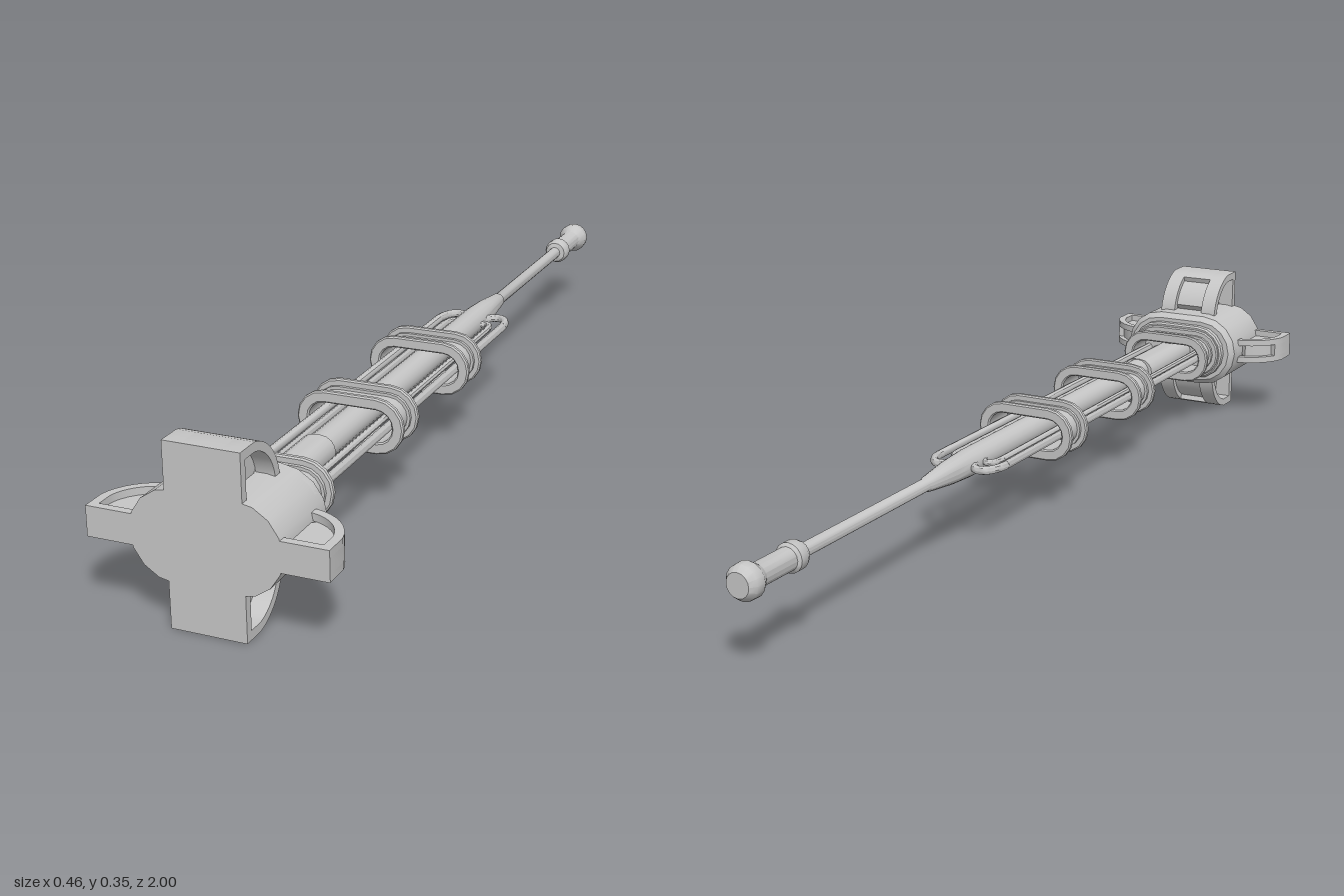
import * as THREE from 'three';
import { toCreasedNormals } from 'three/addons/utils/BufferGeometryUtils.js';

const grey = new THREE.MeshStandardMaterial({ color: 0xc6c6c6 });
grey.name = 'light grey metal';

function part(name, geometry, crease = 0.6) {
  const mesh = new THREE.Mesh(toCreasedNormals(geometry, crease), grey);
  mesh.name = name;
  return mesh;
}

// Outline with straight top and bottom and round ends
function outline(path, halfWidth, r) {
  const c = halfWidth - r;
  path.absarc(c, 0, r, -Math.PI / 2, Math.PI / 2, false);
  path.absarc(-c, 0, r, Math.PI / 2, Math.PI * 1.5, false);
  return path;
}

// Slab of that outline from z0 to z1, with an optional hole [halfWidth, r]
function stadium(name, halfWidth, r, z0, z1, bevel = 0, hole = null) {
  const shape = outline(new THREE.Shape(), halfWidth, r);
  if (hole) shape.holes.push(outline(new THREE.Path(), ...hole));
  const geo = new THREE.ExtrudeGeometry(shape, {
    depth: z1 - z0 - 2 * bevel, curveSegments: 4, bevelEnabled: bevel > 0,
    bevelThickness: bevel, bevelSize: bevel, bevelOffset: -bevel, bevelSegments: 1,
  });
  geo.translate(0, 0, z0 + bevel);
  return part(name, geo, 0.5);
}

// Open spool-shaped collar: two flanges around a narrower drum
function collar(z0, z1) {
  const g = new THREE.Group();
  g.name = 'collar';
  const hole = [0.089, 0.034];
  g.add(
    stadium('collarDrum', 0.094, 0.039, z0 + 0.005, z1 - 0.005, 0, hole),
    stadium('rearFlange', 0.113, 0.058, z0, z0 + 0.013, 0.003, hole),
    stadium('frontFlange', 0.113, 0.058, z1 - 0.013, z1, 0.003, hole),
    stadium('rearStep', 0.1, 0.045, z0 + 0.01, z0 + 0.02, 0, hole),
    stadium('frontStep', 0.1, 0.045, z1 - 0.02, z1 - 0.01, 0, hole),
  );
  return g;
}

// Points on the rounded back of a fin, as (outward, z), slightly flattened
function finArc(base, scale, from, to) {
  const pts = [];
  for (let i = from; i <= to; i++) {
    const k = i / 8, t = (k * Math.PI) / 2;
    const out = 0.75 * Math.cos(t) + 0.25 * (1 - k);
    const back = 0.75 * Math.sin(t) + 0.25 * k;
    pts.push(new THREE.Vector2(base + 0.088 * scale * out, 0.95 - 0.085 * scale * back));
  }
  return pts;
}

// Fin pointing to +x: two hollow side frames and a recessed core
function fin(name, base, halfWidth) {
  const g = new THREE.Group();
  g.name = name;
  const v = (x, y) => new THREE.Vector2(x, y);
  const inner = base - 0.03, tip = base + 0.088;

  const frame = new THREE.Shape([v(inner, 1), v(inner, 0.865), ...finArc(base, 1, 0, 8).reverse(), v(tip, 1)]);
  frame.holes.push(new THREE.Path([
    v(base - 0.006, 0.984), v(base + 0.0704, 0.984), ...finArc(base, 0.8, 0, 8), v(base - 0.006, 0.882),
  ]));
  const core = new THREE.Shape([
    v(inner, 1), v(inner, 0.89), v(base, 0.89),
    ...finArc(base, 0.85, 2, 7).reverse(), ...finArc(base, 1, 0, 2).reverse(), v(tip, 1),
  ]);

  const slice = (label, shape, from, to) => {
    const geo = new THREE.ExtrudeGeometry(shape, { depth: to - from, bevelEnabled: false });
    geo.translate(0, 0, from);
    geo.rotateX(Math.PI / 2);
    g.add(part(label, geo, 0.4));
  };
  const mid = halfWidth * 0.5;
  slice('finFrame', frame, mid, halfWidth);
  slice('finFrame', frame, -halfWidth, -mid);
  slice('finCore', core, -mid, mid);
  return g;
}

// Rod along the barrel that bends back into it in a long hairpin
function rod(side, x, bend, reach, zBend, radius) {
  const arc = [];
  for (let i = 0; i <= 10; i++) {
    const a = (i / 10) * Math.PI;
    arc.push(new THREE.Vector3(side * (x - bend + bend * Math.cos(a)), 0, zBend - reach * Math.sin(a)));
  }
  const line = new THREE.LineCurve3(new THREE.Vector3(side * x, 0, 0.81), arc[0]);
  const g = new THREE.Group();
  g.name = 'rod';
  g.add(
    part('rodStraight', new THREE.TubeGeometry(line, 1, radius, 8), 1),
    part('rodBend', new THREE.TubeGeometry(new THREE.CatmullRomCurve3(arc), 16, radius, 8), 1),
  );
  return g;
}

export function createModel() {
  const model = new THREE.Group();
  model.name = 'spire';
  const body = new THREE.Group();
  body.name = 'body';
  body.position.y = 0.1735;
  model.add(body);

  // Base hub with a bevelled shoulder and a stepped neck
  body.add(
    stadium('hub', 0.145, 0.087, 0.835, 1),
    stadium('hubShoulder', 0.145, 0.087, 0.82, 0.86, 0.012),
    stadium('hubNeck', 0.12, 0.066, 0.803, 0.83, 0.004),
  );

  // Four fins around the hub
  for (let i = 0; i < 4; i++) {
    const upright = i % 2 === 1;
    const f = upright ? fin('uprightFin', 0.0855, 0.073) : fin('sideFin', 0.141, 0.029);
    f.rotation.z = (i * Math.PI) / 2;
    body.add(f);
  }

  // Collars
  body.add(collar(0.73, 0.81), collar(0.345, 0.43), collar(0, 0.085));

  // Barrel, thin shaft and knob turned in one piece
  const profile = [
    [0, -1], [0.024, -1], [0.034, -0.987], [0.035, -0.968], [0.027, -0.955],
    [0.023, -0.948], [0.023, -0.86], [0.029, -0.855], [0.029, -0.835], [0.024, -0.825],
    [0.0135, -0.822], [0.0135, -0.405], [0.016, -0.4], [0.025, -0.32], [0.029, -0.25],
    [0.029, 0.82],
  ].map(([r, z]) => new THREE.Vector2(r, z));
  const barrel = new THREE.LatheGeometry(profile, 16);
  barrel.rotateX(Math.PI / 2);
  body.add(part('barrel', barrel));

  // Flattened sleeve at the foot of the barrel
  body.add(stadium('sleeve', 0.037, 0.03, 0.57, 0.82));

  // Rods on both sides
  for (const side of [1, -1]) {
    body.add(rod(side, 0.077, 0.03, 0.055, -0.22, 0.009));
    body.add(rod(side, 0.052, 0.016, 0.035, -0.19, 0.007));
  }
  return model;
}
